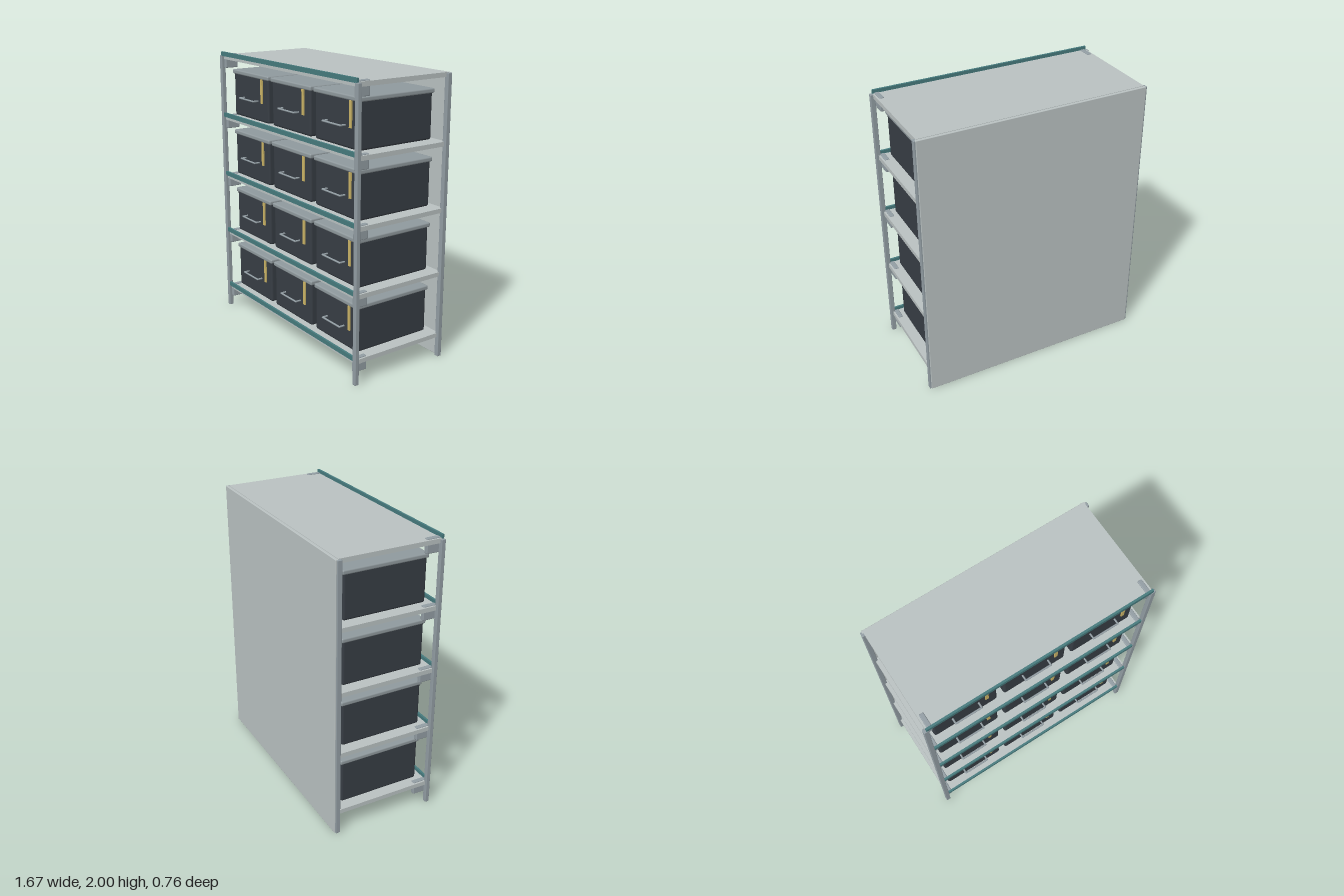
import * as THREE from 'three';
import { RoundedBoxGeometry } from 'three/addons/geometries/RoundedBoxGeometry.js';

const mat = (name, color) => Object.assign(new THREE.MeshStandardMaterial({ color }), { name });

export function createModel() {
  const paleGrey = mat('pale grey board', 0xb9c1c1);
  const steel = mat('steel grey', 0x929da3);
  const teal = mat('teal trim', 0x467a7d);
  const charcoal = mat('charcoal bin', 0x373d44);
  const lidGrey = mat('lid grey', 0x8f999d);
  const yellow = mat('yellow label', 0xcbb466);

  const model = new THREE.Group();
  model.name = 'storageRack';

  // Box given by its min and max corners; r rounds the edges
  function block(parent, name, material, [x0, x1], [y0, y1], [z0, z1], r = 0) {
    const size = [x1 - x0, y1 - y0, z1 - z0];
    const geo = r ? new RoundedBoxGeometry(...size, 2, r) : new THREE.BoxGeometry(...size);
    const mesh = new THREE.Mesh(geo, material);
    mesh.name = name;
    mesh.position.set((x0 + x1) / 2, (y0 + y1) / 2, (z0 + z1) / 2);
    parent.add(mesh);
    return mesh;
  }
  const mirrored = (side, a, b) => (side > 0 ? [a, b] : [-b, -a]);

  // Uprights and back panel
  for (const side of [-1, 1]) {
    const x = mirrored(side, 0.8, 0.833);
    block(model, 'frontPost', steel, x, [0, 1.972], [0.35, 0.38], 0.004);
    block(model, 'backPost', steel, x, [0, 1.972], [-0.373, -0.34], 0.004);
  }
  block(model, 'backPanel', paleGrey, [-0.822, 0.822], [0, 1.974], [-0.38, -0.358], 0.004);

  // Shelves with front trim and corner brackets
  const shelfTops = [0, 1, 2, 3, 4].map((i) => 0.172 + i * 0.451);
  shelfTops.forEach((top, i) => {
    const shelf = new THREE.Group();
    shelf.name = 'shelf' + (i + 1);
    model.add(shelf);
    block(shelf, 'board', paleGrey, [-0.815, 0.815], [top - 0.031, top], [-0.36, 0.362]);
    const half = i === 4 ? 0.815 : 0.8;
    block(shelf, 'frontTrim', teal, [-half, half], [top - 0.007, top + 0.024], [0.362, 0.377]);
    for (const side of [-1, 1]) {
      block(shelf, 'bracket', steel, mirrored(side, 0.77, 0.802), [top - 0.094, top + 0.007], [0.265, 0.362], 0.006);
    }
  });

  // Lidded bin: body, lid, label strip and pull handle, origin at shelf level
  const handlePath = new THREE.CurvePath();
  const pts = [[-0.095, 0.3], [-0.095, 0.345], [0.095, 0.345], [0.095, 0.3]]
    .map(([x, z]) => new THREE.Vector3(x, 0.155, z));
  for (let i = 0; i < 3; i++) handlePath.add(new THREE.LineCurve3(pts[i], pts[i + 1]));

  function makeBin() {
    const bin = new THREE.Group();
    bin.name = 'bin';
    block(bin, 'binBody', charcoal, [-0.233, 0.233], [0.01, 0.33], [-0.29, 0.306], 0.016);
    block(bin, 'binLid', lidGrey, [-0.243, 0.243], [0.315, 0.347], [-0.3, 0.314], 0.01);
    block(bin, 'labelStrip', yellow, [0.143, 0.166], [0.145, 0.317], [0.306, 0.315]);
    const rod = new THREE.Group();
    rod.name = 'handle';
    for (const curve of handlePath.curves) {
      const part = new THREE.Mesh(new THREE.TubeGeometry(curve, 1, 0.0065, 8), steel);
      part.name = 'handleRod';
      rod.add(part);
    }
    // Ball joints close the corners of the handle
    for (const p of [pts[1], pts[2]]) {
      const joint = new THREE.Mesh(new THREE.SphereGeometry(0.0065, 8, 6), steel);
      joint.name = 'handleCorner';
      joint.position.copy(p);
      rod.add(joint);
    }
    bin.add(rod);
    return bin;
  }

  // Three bins on each of the lower four shelves
  const bin = makeBin();
  for (const top of shelfTops.slice(0, 4)) {
    for (const x of [-0.521, -0.003, 0.515]) {
      const copy = bin.clone();
      copy.position.set(x, top, 0);
      model.add(copy);
    }
  }
  return model;
}
